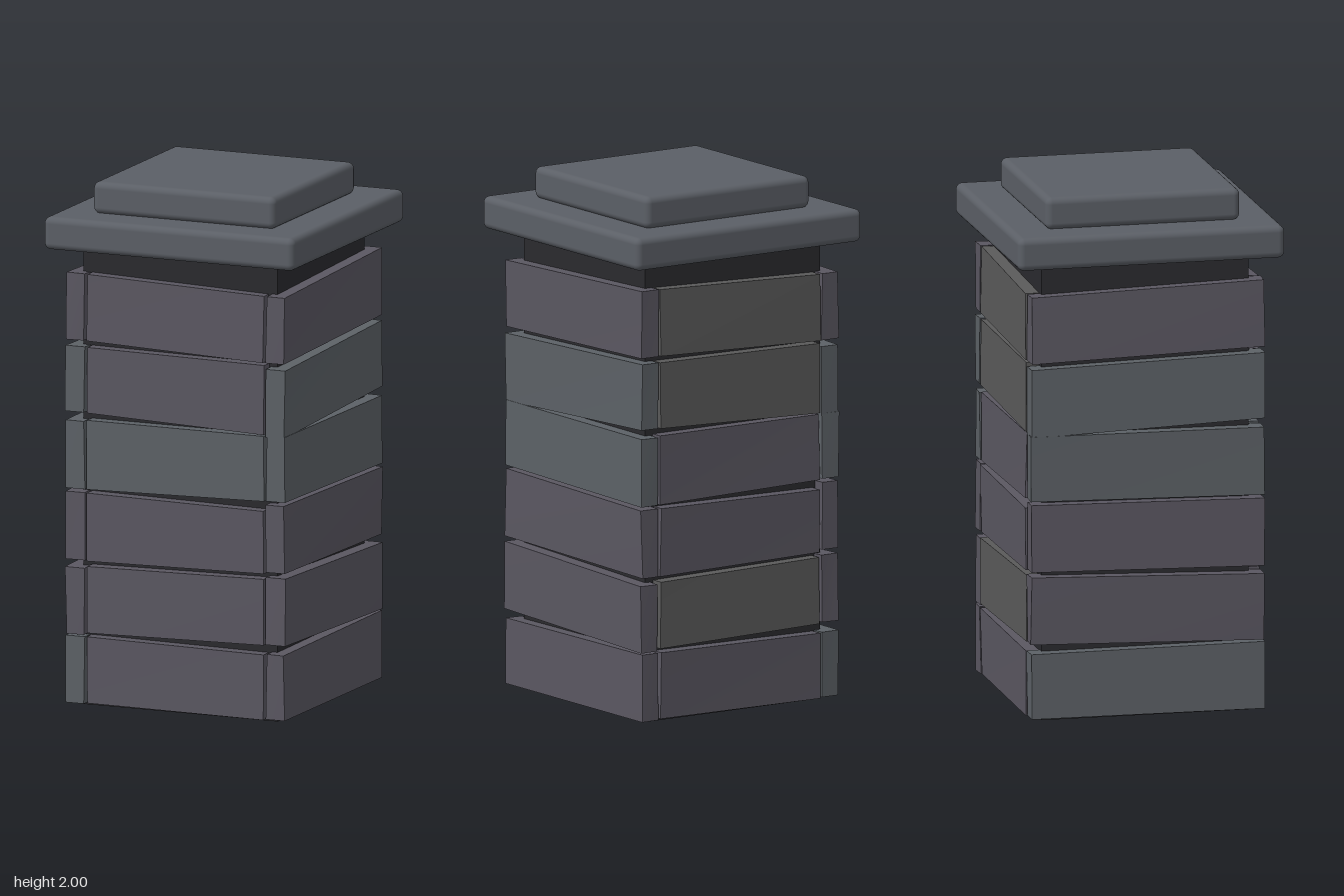
import * as THREE from 'three';
import { RoundedBoxGeometry } from 'three/addons/geometries/RoundedBoxGeometry.js';

const paint = (color) => new THREE.MeshStandardMaterial({ color });
const capStone = paint(0x5b5f66);
const core = paint(0x2a2a2e);
const stones = [paint(0x5a5761), paint(0x5c6166), paint(0x5a5a5a)];

// Small repeatable jitter for the hand-cut stones
let seed = 7;
function jitter(amount) {
  seed = (seed * 16807) % 2147483647;
  return (seed / 2147483647 - 0.5) * 2 * amount;
}

// Stone facing +z; edges = heights [topLeft, topRight, bottomLeft, bottomRight]
function stoneGeometry(halfWidth, edges) {
  const geometry = new THREE.BoxGeometry(2, 2, 2);
  const p = geometry.attributes.position;
  const nudges = Array.from({ length: 8 }, () => [jitter(0.003), jitter(0.004)]);
  for (let i = 0; i < p.count; i++) {
    const right = p.getX(i) > 0 ? 1 : 0;
    const low = p.getY(i) < 0 ? 1 : 0;
    const outer = p.getZ(i) > 0 ? 1 : 0;
    const [dx, dz] = nudges[right + 2 * low + 4 * outer];
    p.setXYZ(i, (right ? 1 : -1) * halfWidth + dx, edges[right + 2 * low], (outer ? 0.45 : 0.374) + dz);
  }
  geometry.computeVertexNormals();
  return geometry;
}

// Edge heights per course, from the bottom up
const narrowCourses = [
  [0.27, 0.262, 0.015, 0.012],
  [0.54, 0.552, 0.285, 0.298],
  [0.822, 0.812, 0.56, 0.572],
  [1.1, 1.1, 0.835, 0.85],
  [1.38, 1.372, 1.128, 1.105],
  [1.66, 1.637, 1.405, 1.382],
];
const wideCourses = [
  [0.265, 0.27, 0.015, 0.012],
  [0.56, 0.532, 0.302, 0.276],
  [0.838, 0.822, 0.58, 0.562],
  [1.102, 1.095, 0.852, 0.835],
  [1.358, 1.382, 1.097, 1.13],
  [1.637, 1.662, 1.382, 1.405],
];

// Each side: name, turn about y, half width, course heights, stone colour per course
const sides = [
  ['front', 0, 0.364, narrowCourses, [0, 0, 0, 1, 0, 0]],
  ['left', Math.PI / 2, 0.45, wideCourses, [0, 0, 0, 1, 1, 0]],
  ['back', Math.PI, 0.364, narrowCourses, [0, 2, 0, 0, 2, 2]],
  ['right', -Math.PI / 2, 0.45, wideCourses, [1, 0, 0, 1, 1, 0]],
];

export function createModel() {
  const model = new THREE.Group();
  model.name = 'stonePillar';

  function add(name, geometry, material, y) {
    const mesh = new THREE.Mesh(geometry, material);
    mesh.name = name;
    mesh.position.y = y;
    model.add(mesh);
  }

  // Dark mortar core
  add('core', new THREE.BoxGeometry(0.8, 1.77, 0.8), core, 0.885);

  // Uneven facing stones on all four sides
  for (const [name, turn, halfWidth, courses, colors] of sides) {
    const wall = new THREE.Group();
    wall.name = name + 'Stones';
    wall.rotation.y = turn;
    courses.forEach((edges, i) => {
      const stone = new THREE.Mesh(stoneGeometry(halfWidth, edges), stones[colors[i]]);
      stone.name = name + 'Stone' + (i + 1);
      wall.add(stone);
    });
    model.add(wall);
  }

  // Stepped cap with softened edges
  add('lowerCap', new RoundedBoxGeometry(1.03, 0.125, 1.03, 4, 0.025), capStone, 1.8175);
  add('upperCap', new RoundedBoxGeometry(0.75, 0.122, 0.75, 4, 0.025), capStone, 1.939);

  return model;
}
